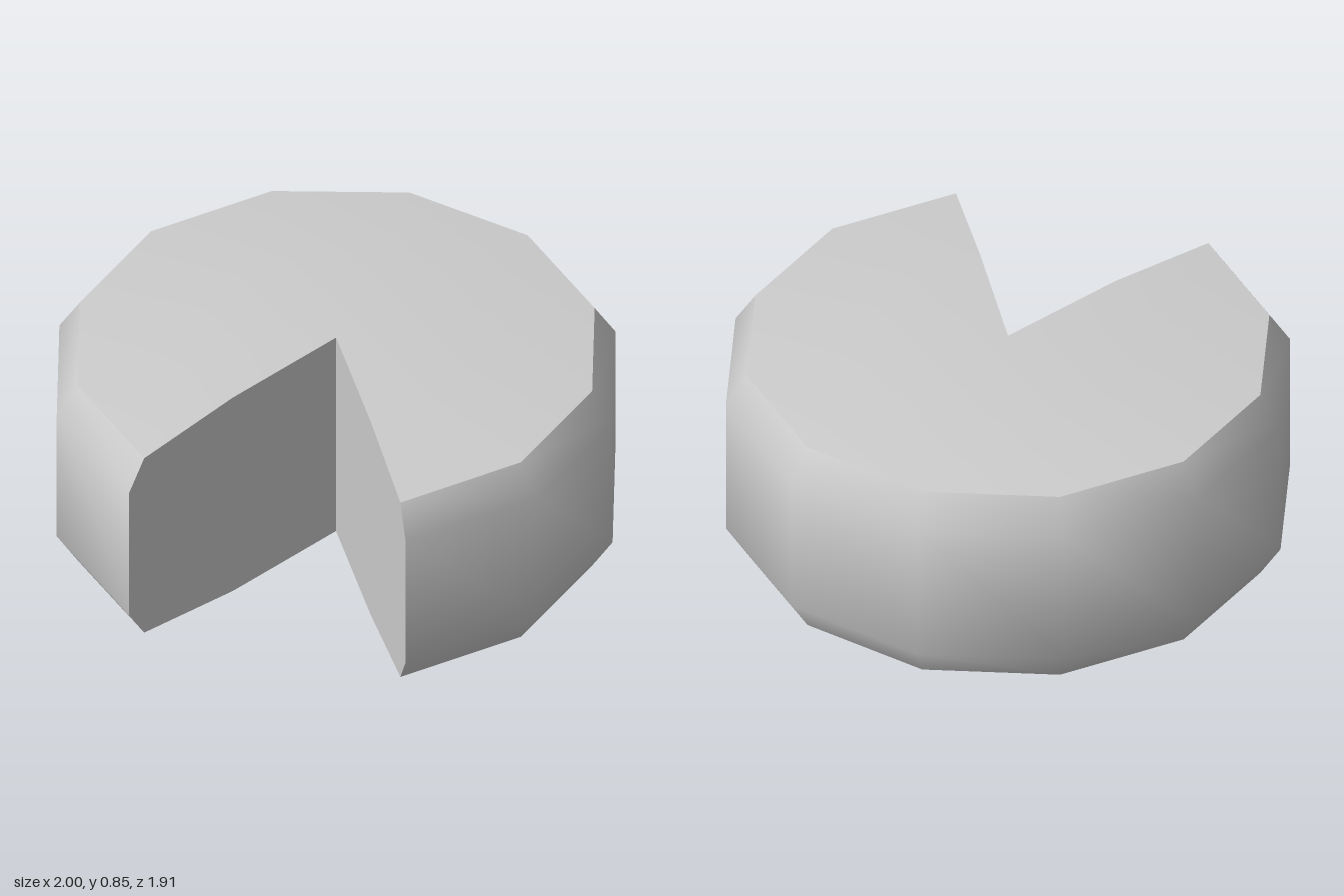
import * as THREE from 'three';
import { toCreasedNormals } from 'three/addons/utils/BufferGeometryUtils.js';

// Half cross-section of the wheel, from the bottom centre to the top centre
const profile = [
  [0, 0], [0.5, 0], [0.93, 0.043], [1.004, 0.16],
  [1.004, 0.69], [0.93, 0.805], [0.5, 0.845], [0, 0.845],
].map(([r, y]) => new THREE.Vector2(r, y));

const START = THREE.MathUtils.degToRad(34.8);
const SWEEP = THREE.MathUtils.degToRad(300);

export function createModel() {
  const model = new THREE.Group();
  model.name = 'cutWheel';
  const grey = new THREE.MeshStandardMaterial({ color: 0xcccccc });
  grey.name = 'lightGrey';

  const add = (name, geometry) => {
    const mesh = new THREE.Mesh(geometry, grey);
    mesh.name = name;
    mesh.position.z = 0.04;
    model.add(mesh);
    return mesh;
  };

  // Twelve-sided wheel with two sides left out
  const lathe = new THREE.LatheGeometry(profile, 10, START, SWEEP);
  add('wheel', toCreasedNormals(lathe, 0.75));

  // Flat faces of the missing wedge, each facing into the gap
  for (const [name, phi, side] of [['leftCut', START, 1], ['rightCut', START + SWEEP, -1]]) {
    const shape = new THREE.Shape(profile.map((p) => new THREE.Vector2(p.x * side, p.y)));
    const cut = add(name, new THREE.ShapeGeometry(shape));
    cut.rotation.y = phi - Math.PI / 2 + (side < 0 ? Math.PI : 0);
  }
  return model;
}
